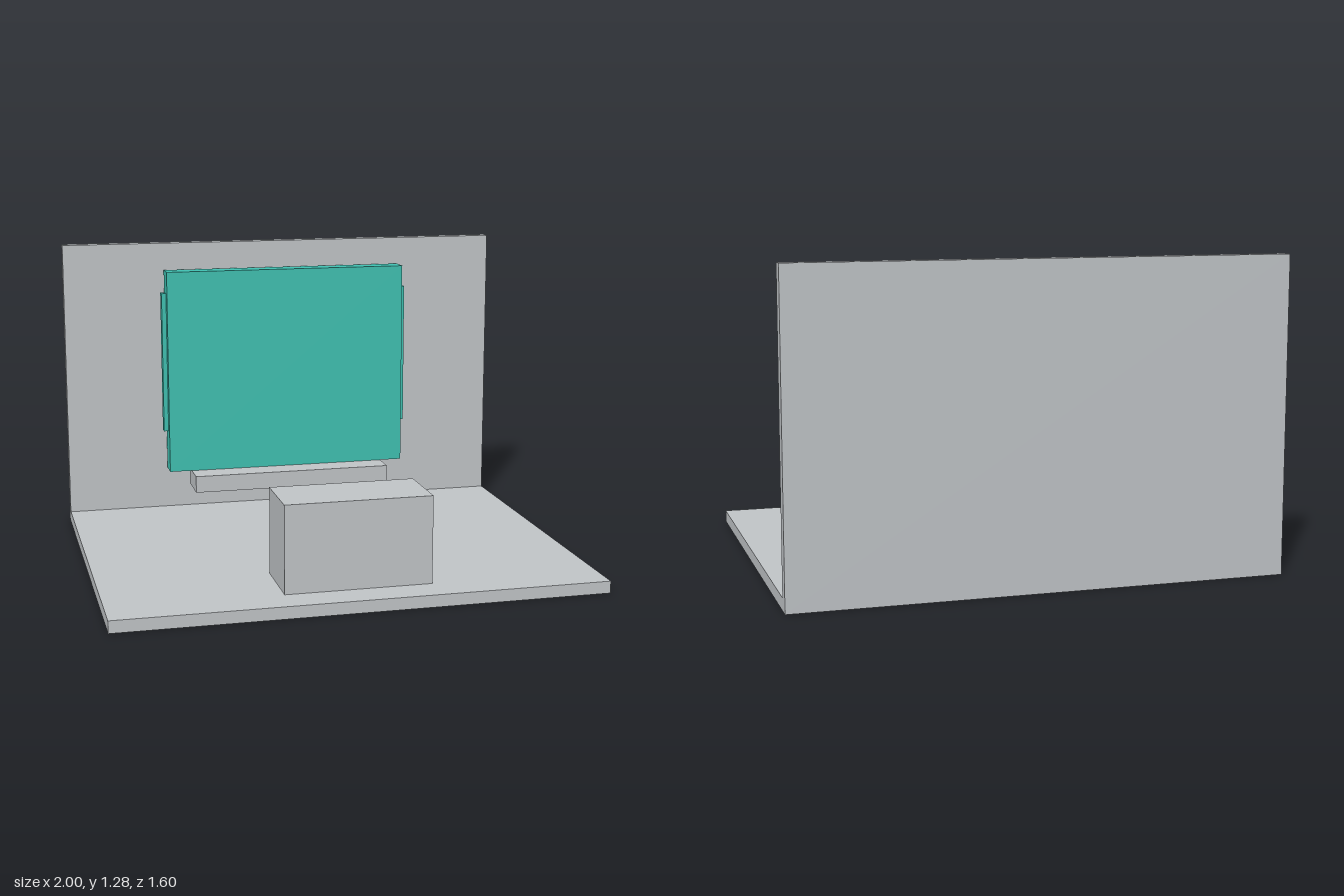
import * as THREE from 'three';

export function createModel() {
  const model = new THREE.Group();
  model.name = 'screenDisplay';

  const grey = new THREE.MeshStandardMaterial({ color: 0xc1c5c8 });
  grey.name = 'light grey';
  const teal = new THREE.MeshStandardMaterial({ color: 0x40c1b2 });
  teal.name = 'teal';

  // Box given by its limits along each axis
  function block(name, material, [x0, x1], [y0, y1], [z0, z1], parent = model) {
    const mesh = new THREE.Mesh(new THREE.BoxGeometry(x1 - x0, y1 - y0, z1 - z0), material);
    mesh.position.set((x0 + x1) / 2, (y0 + y1) / 2, (z0 + z1) / 2);
    mesh.name = name;
    parent.add(mesh);
  }

  // Floor slab butted against the back wall
  block('floor', grey, [-1, 1], [0, 0.05], [-0.747, 0.8]);
  block('backWall', grey, [-1, 1], [0, 1.28], [-0.8, -0.747]);

  // Ledge below the screen and free-standing block in front
  block('ledge', grey, [-0.45, 0.45], [0.165, 0.24], [-0.695, -0.52]);
  block('frontBlock', grey, [-0.3, 0.3], [0.05, 0.41], [0.38, 0.66]);

  // Screen panel with a thin back plate and a strip on each side
  const screen = new THREE.Group();
  screen.name = 'screen';
  model.add(screen);
  block('panel', teal, [-0.55, 0.55], [0.24, 1.16], [-0.725, -0.637], screen);
  block('backPlate', teal, [-0.54, 0.54], [0.455, 1.03], [-0.731, -0.725], screen);
  block('leftStrip', teal, [0.55, 0.57], [0.425, 1.06], [-0.71, -0.67], screen);
  block('rightStrip', teal, [-0.57, -0.55], [0.425, 1.06], [-0.71, -0.67], screen);

  return model;
}
